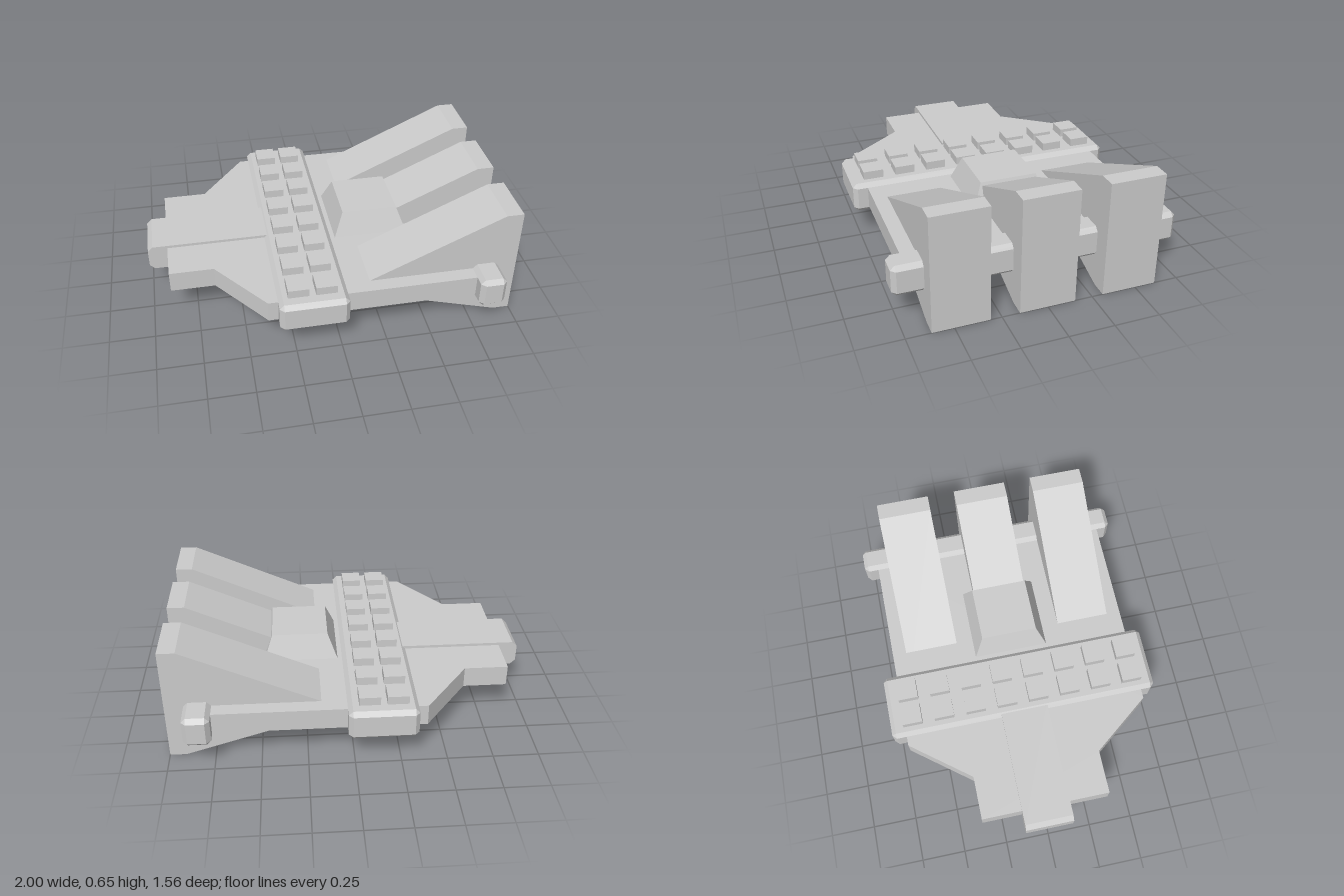
import * as THREE from 'three';
import { ConvexGeometry } from 'three/addons/geometries/ConvexGeometry.js';

const material = new THREE.MeshStandardMaterial({ color: 0xcccccc, flatShading: true });

function addMesh(parent, name, geometry, x = 0, y = 0, z = 0) {
  const mesh = new THREE.Mesh(geometry, material);
  mesh.name = name;
  mesh.position.set(x, y, z);
  parent.add(mesh);
  return mesh;
}

// Side profile in x/y, extruded along z and centred on z = 0
function extrudeProfile(points, width) {
  const shape = new THREE.Shape(points.map(([x, y]) => new THREE.Vector2(x, y)));
  return new THREE.ExtrudeGeometry(shape, { depth: width, bevelEnabled: false })
    .translate(0, 0, -width / 2);
}

// Box with all edges and corners chamfered by c
function chamferedBox(w, h, d, c) {
  const points = [];
  for (const sx of [-1, 1]) for (const sy of [-1, 1]) for (const sz of [-1, 1]) {
    const x = w / 2, y = h / 2, z = d / 2;
    points.push(
      new THREE.Vector3(sx * x, sy * (y - c), sz * (z - c)),
      new THREE.Vector3(sx * (x - c), sy * y, sz * (z - c)),
      new THREE.Vector3(sx * (x - c), sy * (y - c), sz * z));
  }
  return new ConvexGeometry(points);
}

export function createModel() {
  const model = new THREE.Group();
  model.name = 'ship';

  // Flat hull plate, outline mirrored across z
  const half = [[-0.89, 0.366], [-0.645, 0.366], [-0.39, 0.697], [0.8, 0.697]];
  const outline = [...half, ...half.map(([x, z]) => [x, -z]).reverse()];
  const plate = new THREE.ExtrudeGeometry(
    new THREE.Shape(outline.map(([x, z]) => new THREE.Vector2(x, z))),
    { depth: 0.12, bevelEnabled: false });
  addMesh(model, 'hullPlate', plate.rotateX(Math.PI / 2), 0, 0.32, 0);

  // Nose beam with a chamfered tip
  addMesh(model, 'noseBeam', extrudeProfile([
    [-1, 0.213], [-0.972, 0.185], [-0.3, 0.185],
    [-0.3, 0.336], [-0.972, 0.336], [-1, 0.308],
  ], 0.274));

  // Cross bars
  addMesh(model, 'mainCrossBar', chamferedBox(0.374, 0.172, 1.556, 0.024), -0.15, 0.258, 0);
  addMesh(model, 'rearCrossBar', chamferedBox(0.146, 0.172, 1.556, 0.024), 0.825, 0.258, 0);

  // Two rows of blocks on the main cross bar
  const blocks = new THREE.Group();
  blocks.name = 'deckBlocks';
  model.add(blocks);
  const blockGeometry = new THREE.BoxGeometry(0.114, 0.07, 0.114);
  for (let i = 0; i < 8; i++) {
    for (const x of [-0.228, -0.078]) {
      addMesh(blocks, 'deckBlock', blockGeometry, x, 0.356, (i - 3.5) * 0.185);
    }
  }

  // Tapered cabin
  const cabin = [];
  for (const s of [-1, 1]) {
    for (const [x, y, z] of [[0.058, 0.31, 0.218], [0.484, 0.31, 0.218],
      [0.116, 0.457, 0.16], [0.43, 0.457, 0.16]]) {
      cabin.push(new THREE.Vector3(x, y, s * z));
    }
  }
  addMesh(model, 'cabin', new ConvexGeometry(cabin));

  // Three wedge engines
  const engineGeometry = extrudeProfile([
    [0.045, 0.262], [0.25, 0.2], [0.91, 0], [1, 0], [1, 0.653], [0.905, 0.653],
  ], 0.306);
  for (const z of [-0.464, 0, 0.464]) addMesh(model, 'engineWedge', engineGeometry, 0, 0, z);

  return model;
}
